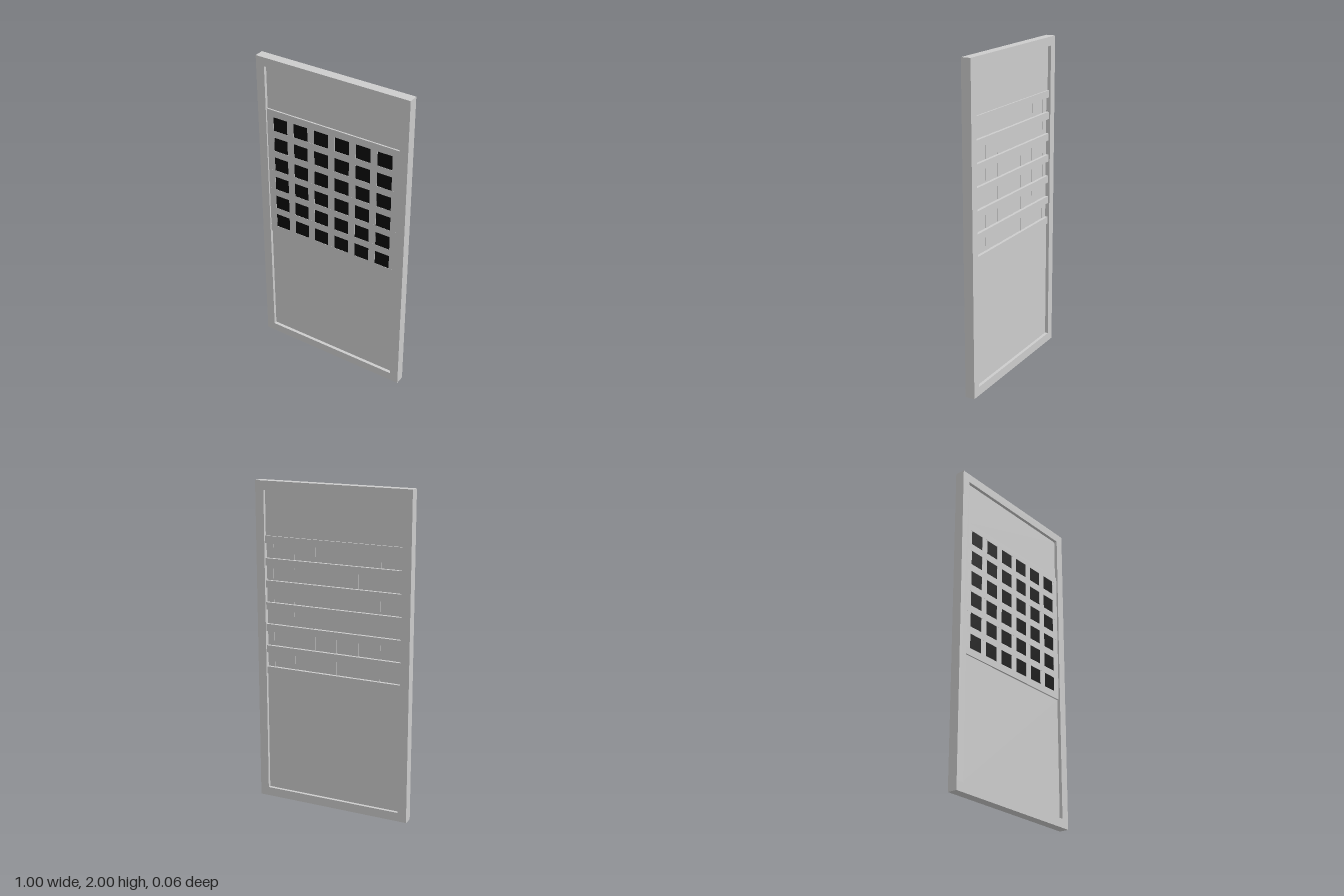
import * as THREE from 'three';

export function createModel() {
  const door = new THREE.Group();
  door.name = 'door';
  const grey = new THREE.MeshStandardMaterial({ color: 0xcccccc });
  const black = new THREE.MeshStandardMaterial({ color: 0x0a0a0a });

  // Box given by its limits on each axis
  function box(name, x0, x1, y0, y1, z0, z1, material = grey) {
    const mesh = new THREE.Mesh(new THREE.BoxGeometry(x1 - x0, y1 - y0, z1 - z0), material);
    mesh.position.set((x0 + x1) / 2, (y0 + y1) / 2, (z0 + z1) / 2);
    mesh.name = name;
    door.add(mesh);
  }

  const inner = 0.445, rail = 0.055, half = 0.03;
  const gridBottom = 0.813, gridTop = 1.672, bar = 0.045, count = 6;
  const pitchX = (2 * inner - bar) / count;
  const pitchY = (gridTop - gridBottom - bar) / count;

  // Frame: full-width rails with stiles between them
  box('topRail', -0.5, 0.5, 2 - rail, 2, -half, half);
  box('bottomRail', -0.5, 0.5, 0, rail, -half, half);
  box('rightStile', -0.5, -inner, rail, 2 - rail, -half, half);
  box('leftStile', inner, 0.5, rail, 2 - rail, -half, half);

  // Recessed panels above and below the lattice
  box('lowerPanel', -inner, inner, rail, gridBottom, -0.01, 0.01);
  box('upperPanel', -inner, inner, gridTop, 2 - rail, -0.01, 0.01);

  // Sheet closing the back of the lattice
  box('latticeBacking', -inner, inner, gridBottom, gridTop, 0, 0.01);

  // Lattice: deep horizontal bars crossed by shallower upright bars
  for (let i = 0; i <= count; i++) {
    const y = gridBottom + i * pitchY;
    const x = -inner + i * pitchX;
    box('horizontalBar', -inner, inner, y, y + bar, -0.02, 0.02);
    box('uprightBar', x, x + bar, gridBottom, gridTop, -0.002, 0.0198);
  }

  // Dark panes, almost flush with the front of the bars
  for (let row = 0; row < count; row++) {
    for (let col = 0; col < count; col++) {
      const x = -inner + bar + col * pitchX;
      const y = gridBottom + bar + row * pitchY;
      box('pane', x, x + pitchX - bar, y, y + pitchY - bar, 0.005, 0.018, black);
    }
  }
  return door;
}
